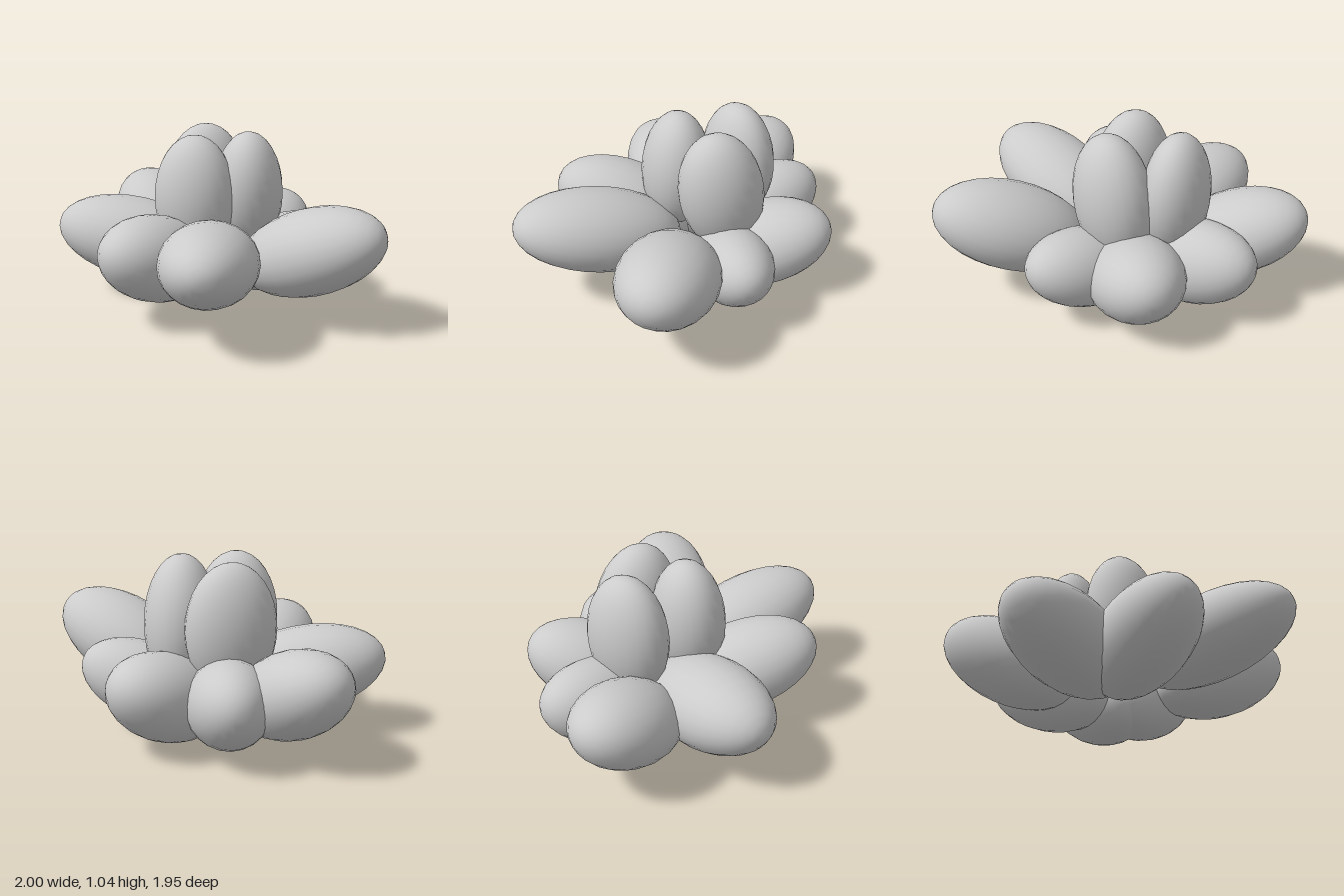
import * as THREE from 'three';

// Outer petals: centre, heading (0 = front, 90 = +x), upward tilt, half length, width, thickness
const PETALS = [
  ['frontPetal', [0.045, 0.44, 0.48], 3, 13, 0.505, 0.28, 0.24],
  ['frontRightPetal', [-0.3, 0.365, 0.24], -23, 20, 0.45, 0.27, 0.255],
  ['rightPetal', [-0.52, 0.365, -0.125], -86, 12, 0.487, 0.285, 0.25],
  ['backRightPetal', [-0.47, 0.37, -0.6], 214, 25, 0.42, 0.28, 0.24],
  ['backPetal', [-0.13, 0.3, -0.58], 190, 18, 0.41, 0.24, 0.25],
  ['backLeftPetal', [0.22, 0.29, -0.475], 153, 24, 0.43, 0.28, 0.25],
  ['leftPetal', [0.37, 0.29, -0.225], 90, 21, 0.4, 0.24, 0.23],
  ['frontLeftPetal', [0.58, 0.44, 0.195], 64, 22, 0.47, 0.29, 0.25],
];

// Upright inner buds, same columns
const BUDS = [
  ['frontBud', [-0.13, 0.67, -0.035], 0, 93, 0.37, 0.24, 0.205],
  ['backBud', [-0.13, 0.67, -0.42], 23, 90, 0.37, 0.258, 0.185],
  ['leftBud', [0.17, 0.66, -0.225], 0, 80, 0.385, 0.21, 0.25],
];

export function createModel() {
  const flower = new THREE.Group();
  flower.name = 'flower';
  const material = new THREE.MeshStandardMaterial({ color: 0xcccccc });
  const lobe = new THREE.SphereGeometry(1, 24, 16);
  lobe.rotateX(Math.PI / 2); // poles along the length

  for (const [groupName, rows] of [['outerPetals', PETALS], ['innerBuds', BUDS]]) {
    const ring = new THREE.Group();
    ring.name = groupName;
    for (const [name, centre, heading, tilt, length, width, thickness] of rows) {
      const mesh = new THREE.Mesh(lobe, material);
      mesh.name = name;
      mesh.position.set(...centre);
      mesh.rotation.set(
        -THREE.MathUtils.degToRad(tilt), THREE.MathUtils.degToRad(heading), 0, 'YXZ');
      mesh.scale.set(width, thickness, length);
      ring.add(mesh);
    }
    flower.add(ring);
  }
  return flower;
}
